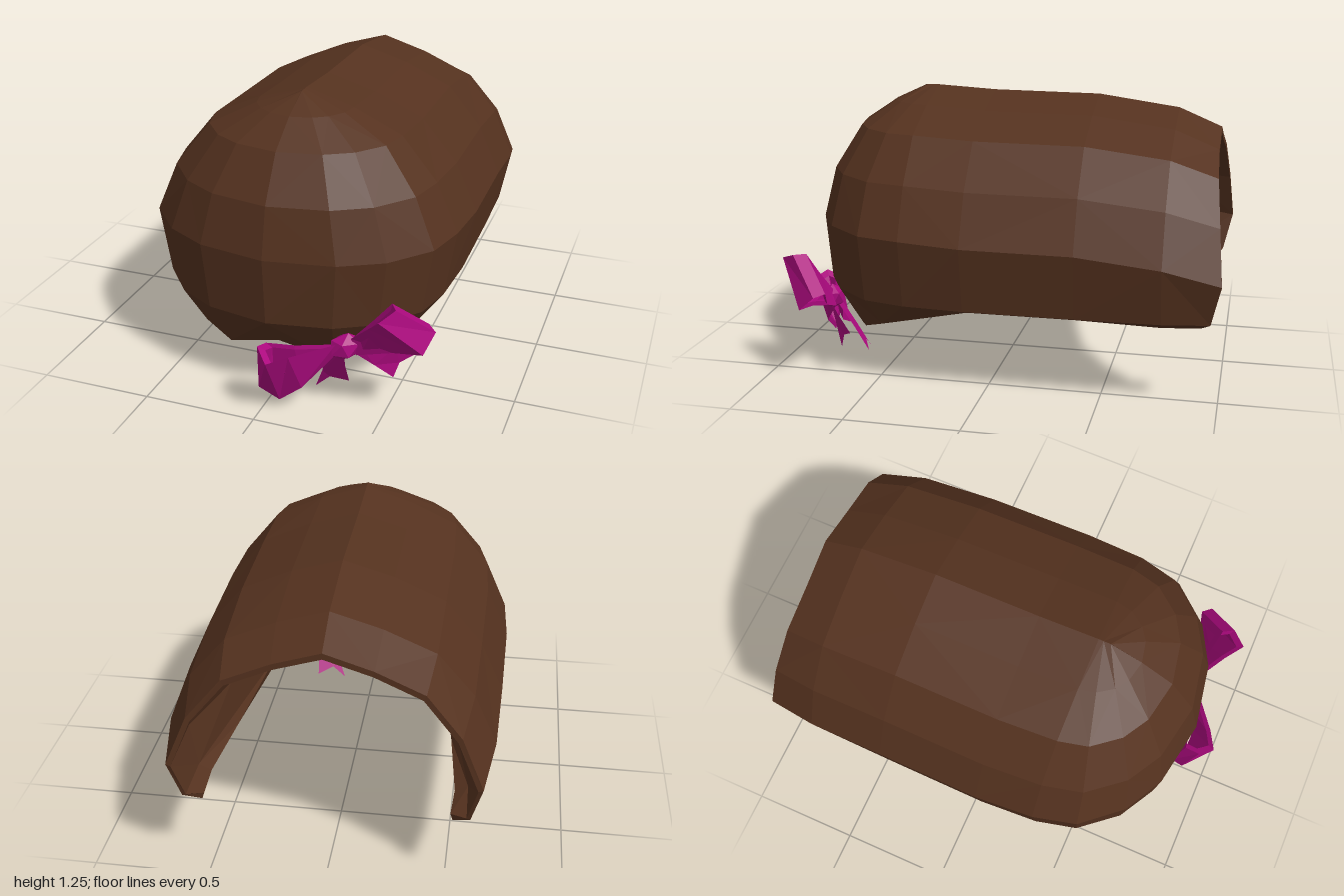
import * as THREE from 'three';

const brown = new THREE.MeshStandardMaterial({ color: 0x55321f, flatShading: true, side: THREE.DoubleSide });
brown.name = 'hair brown';
const magenta = new THREE.MeshStandardMaterial({ color: 0xae0a80, flatShading: true, side: THREE.DoubleSide });
magenta.name = 'ribbon magenta';

// Profile levels from ridge to rim: half width, height, depth of the rounded front
const OUTER = [[0, 1.255, 0.06], [0.22, 1.19, 0.2], [0.44, 1.09, 0.35], [0.6, 0.9, 0.47],
  [0.7, 0.68, 0.52], [0.65, 0.38, 0.5], [0.57, 0.33, 0.36]];
const INNER = [[0, 0.87, 0], [0.15, 0.84, 0.04], [0.26, 0.77, 0.09], [0.34, 0.66, 0.14],
  [0.38, 0.56, 0.17], [0.41, 0.45, 0.16], [0.43, 0.37, 0.14]];
const DROP = [1, 1, 0.9, 0.8, 0.8, 0, 0];                // how far each level sinks at the back
const BACK_Z = [0, 0, -0.01, -0.03, -0.05, -0.01, 0.03]; // shape of the rear edge
const FRONT_Z = 0.35;

// Columns from the thin rear edge to the middle of the front;
// the hollow narrows evenly towards the head opening
const COLUMNS = [
  { z: -0.95, w: 0.92, dy: -0.15, thin: 0.93, rim: 0.34, back: 1 },
  { z: -0.76, w: 0.975, dy: -0.07, thin: 0.76, rim: 0.34 },
  { z: -0.4, w: 0.99, dy: -0.02, thin: 0.42, rim: 0.35 },
  { z: 0.08, w: 1, dy: -0.015, thin: 0, rim: 0.35 },
  ...[[0, 0.29], [22, 0.25], [45, 0.19], [64, 0.15], [90, 0.22]].map(([deg, rim]) =>
    ({ z: FRONT_Z, w: 0.975, dy: 0, thin: 0, rim, phi: deg * Math.PI / 180 })),
];

function shellPoint(col, level, inner) {
  const phi = col.phi || 0;
  const o = OUTER[level], n = INNER[level];
  const [hx, hy, d] = inner ? n.map((v, k) => v + (o[k] - v) * col.thin) : o;
  let y = hy + col.dy * DROP[level];
  if (level === 6) y = inner ? Math.max(col.rim + 0.03, 0.28) : col.rim;
  const z = col.z + d * Math.sin(phi) + (col.back ? BACK_Z[level] : 0);
  return [hx * col.w * Math.cos(phi), y, z];
}

function geometryFrom(points, index) {
  const g = new THREE.BufferGeometry();
  g.setAttribute('position', new THREE.Float32BufferAttribute(points.flat(), 3));
  g.setIndex(index);
  const flat = g.toNonIndexed();
  flat.computeVertexNormals();
  return flat;
}

// Thick hollow shell: rounded in front, open behind and below
function hairShell() {
  const half = COLUMNS.map(c => [
    ...OUTER.map((_, i) => shellPoint(c, i, false)),
    ...OUTER.map((_, i) => shellPoint(c, 6 - i, true)),
  ]);
  const mirrored = half.slice(0, -1).reverse().map(col => col.map(([x, y, z]) => [-x, y, z]));
  const cols = [...half, ...mirrored];
  const rows = 14, index = [];
  const quad = (a, b, c, d) => index.push(a, b, c, a, c, d);
  for (let j = 0; j < cols.length - 1; j++) {
    for (let i = 0; i < rows - 1; i++) {
      const a = j * rows + i, b = a + rows;
      if ((i + j) % 2) quad(a, b, b + 1, a + 1);
      else quad(b, b + 1, a + 1, a);
    }
  }
  // rear edge strips joining outside to inside
  const last = (cols.length - 1) * rows;
  for (let i = 0; i < 6; i++) {
    quad(i, i + 1, 12 - i, 13 - i);
    quad(last + 13 - i, last + 12 - i, last + i + 1, last + i);
  }
  return geometryFrom(cols.flat(), index);
}

// Thick ribbon loop through pairs of upper and lower edge points,
// its inner wall drawn in towards the middle of the loop
function ribbon(pairs) {
  const outer = pairs.flat();
  const middle = [0, 1, 2].map(k => outer.reduce((sum, p) => sum + p[k], 0) / outer.length);
  const pull = p => p.map((v, k) => v + (middle[k] - v) * 0.22);
  const points = pairs.flatMap(([top, low]) => [top, low, pull(low), pull(top)]);
  const index = [];
  for (let i = 0; i < pairs.length - 1; i++) {
    for (let k = 0; k < 4; k++) {
      const a = i * 4 + k, b = i * 4 + (k + 1) % 4;
      index.push(a, b, b + 4, a, b + 4, a + 4);
    }
  }
  return geometryFrom(points, index);
}

// Ribbon end with a V notch: two root, two middle, then tip, notch, tip
const tail = points => geometryFrom(points, [0, 2, 1, 1, 2, 3, 2, 4, 5, 2, 5, 3, 3, 5, 6]);

export function createModel() {
  const model = new THREE.Group();
  model.name = 'hairWithBow';
  const add = (parent, name, geometry, material) => {
    const mesh = new THREE.Mesh(geometry, material);
    mesh.name = name;
    parent.add(mesh);
    return mesh;
  };

  add(model, 'hairShell', hairShell(), brown);

  // small tufts inside, one on each side
  for (const s of [-1, 1]) {
    const tuft = add(model, s > 0 ? 'leftTuft' : 'rightTuft', new THREE.ConeGeometry(0.08, 0.18, 5), brown);
    tuft.position.set(s * 0.36, 0.45, 0.27);
    tuft.rotation.z = s * 1.8;
  }

  const bow = new THREE.Group();
  bow.name = 'bow';
  model.add(bow);

  add(bow, 'rightLoop', ribbon([
    [[0.3, 0.32, 0.82], [0.28, 0.24, 0.79]],
    [[0.14, 0.3, 0.95], [0.17, 0.12, 0.88]],
    [[0.06, 0.28, 1], [0.07, 0.04, 0.88]],
    [[0, 0.32, 0.94], [-0.02, 0.09, 0.89]],
    [[0.01, 0.3, 0.87], [0, 0.055, 0.83]],
    [[0.13, 0.3, 0.85], [0.15, 0.12, 0.81]],
    [[0.3, 0.3, 0.78], [0.28, 0.24, 0.76]],
  ]), magenta);

  add(bow, 'leftLoop', ribbon([
    [[0.36, 0.35, 0.8], [0.38, 0.27, 0.79]],
    [[0.46, 0.46, 0.88], [0.54, 0.32, 0.8]],
    [[0.52, 0.53, 0.94], [0.67, 0.34, 0.81]],
    [[0.57, 0.56, 0.87], [0.7, 0.41, 0.73]],
    [[0.54, 0.56, 0.82], [0.66, 0.42, 0.69]],
    [[0.46, 0.46, 0.8], [0.54, 0.33, 0.73]],
    [[0.36, 0.34, 0.77], [0.38, 0.27, 0.75]],
  ]), magenta);

  add(bow, 'rightTail', tail([
    [0.25, 0.25, 0.77], [0.32, 0.27, 0.77], [0.2, 0.11, 0.71], [0.3, 0.15, 0.7],
    [0.155, 0, 0.67], [0.22, 0.06, 0.67], [0.295, 0.03, 0.63],
  ]), magenta);
  add(bow, 'leftTail', tail([
    [0.38, 0.26, 0.77], [0.4, 0.3, 0.77], [0.44, 0.2, 0.73], [0.52, 0.28, 0.69],
    [0.51, 0.125, 0.68], [0.53, 0.19, 0.66], [0.61, 0.23, 0.6],
  ]), magenta);

  const knot = add(bow, 'knot', new THREE.IcosahedronGeometry(1, 0), magenta);
  knot.scale.set(0.075, 0.06, 0.055);
  knot.position.set(0.33, 0.3, 0.785);
  knot.rotation.set(0, 0.35, 0.45);

  return model;
}
